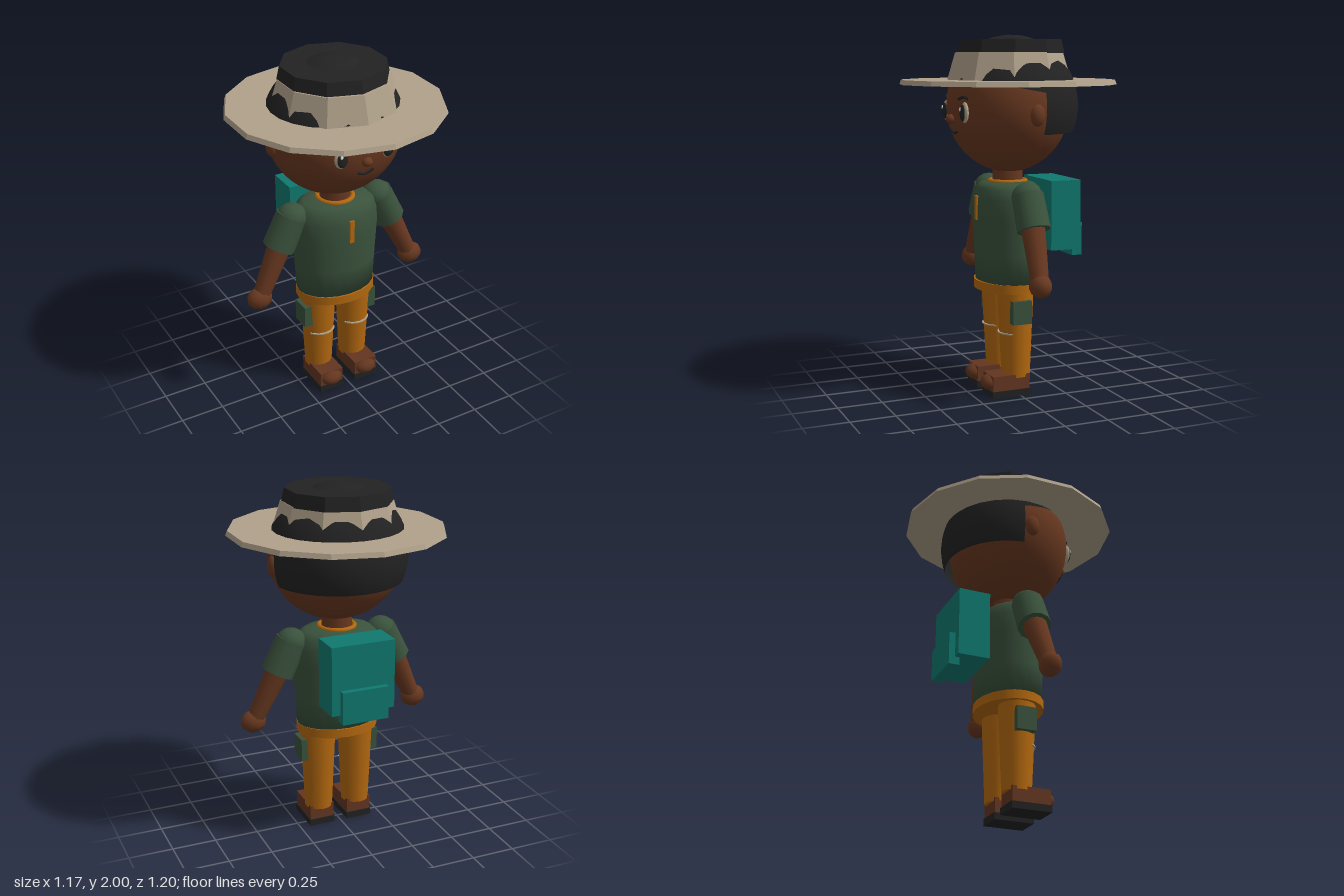
import * as THREE from 'three';

const mat = (name, color, extra = {}) => {
  const m = new THREE.MeshStandardMaterial({ color, ...extra });
  m.name = name;
  return m;
};

export function createModel() {
  const skin = mat('skin', 0x683820);
  const shirt = mat('shirt green', 0x3a523c);
  const pants = mat('trouser ochre', 0xb3680f);
  const teal = mat('backpack teal', 0x0f786e);
  const tan = mat('hat tan', 0xb0a18a, { flatShading: true });
  const black = mat('black', 0x222222);
  const blackFlat = mat('hat black', 0x222222, { flatShading: true });
  const hairMat = mat('hair black', 0x222222, { side: THREE.DoubleSide });
  const white = mat('white', 0xf2f2f2);
  const shoeMat = mat('shoe brown', 0x633620);

  const model = new THREE.Group();
  model.name = 'explorer';

  const add = (name, geo, material, x = 0, y = 0, z = 0, parent = model) => {
    const mesh = new THREE.Mesh(geo, material);
    mesh.name = name;
    mesh.position.set(x, y, z);
    parent.add(mesh);
    return mesh;
  };
  const box = (w, h, d) => new THREE.BoxGeometry(w, h, d);
  const ball = (rx, ry, rz, w = 20, h = 14) => new THREE.SphereGeometry(1, w, h).scale(rx, ry, rz);
  // Tapered limb running between two points
  const limb = (name, a, b, ra, rb, material, sides = 12) => {
    const from = new THREE.Vector3(...a), to = new THREE.Vector3(...b);
    const dir = to.clone().sub(from);
    const mesh = add(name, new THREE.CylinderGeometry(rb, ra, dir.length(), sides), material);
    mesh.position.copy(from).addScaledVector(dir, 0.5);
    mesh.quaternion.setFromUnitVectors(new THREE.Vector3(0, 1, 0), dir.normalize());
    return mesh;
  };
  // Depth of the face surface at a given x, y
  const faceZ = (x, y) => 0.335 * Math.sqrt(1 - (x / 0.38) ** 2 - ((y - 1.61) / 0.365) ** 2);
  const faceLine = (name, pts, r) => {
    const curve = new THREE.CatmullRomCurve3(
      pts.map(([x, y]) => new THREE.Vector3(x, y, faceZ(x, y) + 0.004)));
    add(name, new THREE.TubeGeometry(curve, 14, r, 6), black);
  };

  // Head and neck
  add('head', ball(0.38, 0.365, 0.335, 32, 24), skin, 0, 1.61, 0);
  add('neck', new THREE.CylinderGeometry(0.085, 0.085, 0.14, 12), skin, 0, 1.22, 0);
  add('nose', ball(0.03, 0.026, 0.03, 12, 8), skin, 0, 1.545, 0.335);
  faceLine('mouth', [[-0.05, 1.485], [-0.03, 1.475], [0, 1.467], [0.03, 1.475], [0.05, 1.485]], 0.007);

  // Hair: tilted cap and a lower shell around the back
  const cap = add('hairCap', new THREE.SphereGeometry(1, 24, 12, 0, Math.PI * 2, 0, 1.34),
    hairMat, 0, 1.61, -0.015);
  cap.scale.set(0.39, 0.39, 0.372);
  cap.rotation.x = -0.18;
  const back = new THREE.SphereGeometry(0.39, 24, 8, Math.PI + 0.155, Math.PI - 0.31, 1.15, 0.79);
  add('hairBack', back, hairMat, 0, 1.61, 0);

  // Hat
  add('hatBrim', new THREE.CylinderGeometry(0.592, 0.602, 0.026, 14), tan, 0, 1.742, 0);
  add('hatCrown', new THREE.CylinderGeometry(0.305, 0.352, 0.155, 10), tan, 0, 1.826, -0.005);
  add('hatTop', new THREE.CylinderGeometry(0.287, 0.303, 0.075, 10), blackFlat, 0, 1.936, -0.015);

  // Torso, hem and collar
  const profile = [[0.001, 0.63], [0.235, 0.63], [0.243, 0.8], [0.255, 1.0], [0.25, 1.1],
    [0.228, 1.16], [0.19, 1.185], [0.12, 1.195], [0.001, 1.195]].map(p => new THREE.Vector2(...p));
  add('shirtBody', new THREE.LatheGeometry(profile, 20).scale(1, 1, 0.745), shirt);
  add('waistband', new THREE.CylinderGeometry(0.237, 0.237, 0.05, 20).scale(1, 1, 0.785), pants, 0, 0.613, 0);
  add('collar', new THREE.TorusGeometry(0.1, 0.014, 8, 20).rotateX(Math.PI / 2), pants, 0, 1.193, 0);
  add('placket', box(0.028, 0.135, 0.012), pants, 0, 1.05, 0.188);

  // Backpack with its lower pocket
  add('backpack', box(0.37, 0.39, 0.18), teal, 0, 1.005, -0.275);
  add('backpackPocket', box(0.27, 0.185, 0.06), teal, 0, 0.858, -0.37);

  for (const [s, side] of [[1, 'left'], [-1, 'right']]) {
    // Face details
    const ez = faceZ(0.14, 1.585);
    add(side + 'EyeWhite', ball(0.04, 0.056, 0.018), tan.clone(), s * 0.14, 1.585, ez - 0.002).material = eyeTan(tan);
    add(side + 'Pupil', ball(0.032, 0.045, 0.012), black, s * 0.138, 1.583, ez + 0.01);
    add(side + 'EyeGlint', ball(0.009, 0.011, 0.004, 10, 8), white, s * 0.138 - 0.01, 1.602, ez + 0.021);
    faceLine(side + 'Brow', [[s * 0.095, 1.656], [s * 0.135, 1.667], [s * 0.175, 1.657]], 0.008);
    add(side + 'Ear', ball(0.035, 0.06, 0.043, 14, 10), skin, s * 0.37, 1.575, -0.012);

    // Arm
    limb(side + 'Sleeve', [s * 0.272, 1.14, 0], [s * 0.358, 0.962, 0], 0.088, 0.092, shirt);
    add(side + 'Shoulder', ball(0.088, 0.08, 0.088, 12, 8), shirt, s * 0.272, 1.13, 0);
    limb(side + 'Forearm', [s * 0.35, 0.98, 0.003], [s * 0.485, 0.7, 0.022], 0.067, 0.048, skin);
    add(side + 'Hand', ball(0.075, 0.064, 0.06, 10, 7), skin, s * 0.495, 0.685, 0.024);

    // Leg with knee seam and cargo pocket
    const x = s * 0.115;
    limb(side + 'Leg', [x, 0.62, 0.004], [x, 0.105, 0], 0.104, 0.08, pants, 14);
    add(side + 'KneeSeam', new THREE.CylinderGeometry(0.095, 0.095, 0.007, 14, 1, false,
      -Math.PI / 3, Math.PI * 2 / 3), tan, x, 0.355, 0.008);
    add(side + 'CargoPocket', box(0.05, 0.13, 0.112), shirt, s * 0.21, 0.483, 0.01);

    // Shoe
    add(side + 'Shoe', box(0.145, 0.085, 0.22), shoeMat, x, 0.08, 0.055);
    add(side + 'ShoeToe', ball(0.066, 0.045, 0.055, 14, 10), shoeMat, x, 0.078, 0.155);
    add(side + 'Sole', box(0.152, 0.038, 0.23), black, x, 0.019, 0.055);
  }
  return model;
}

// Eyes share the hat colour
function eyeTan(tan) {
  return tan;
}
